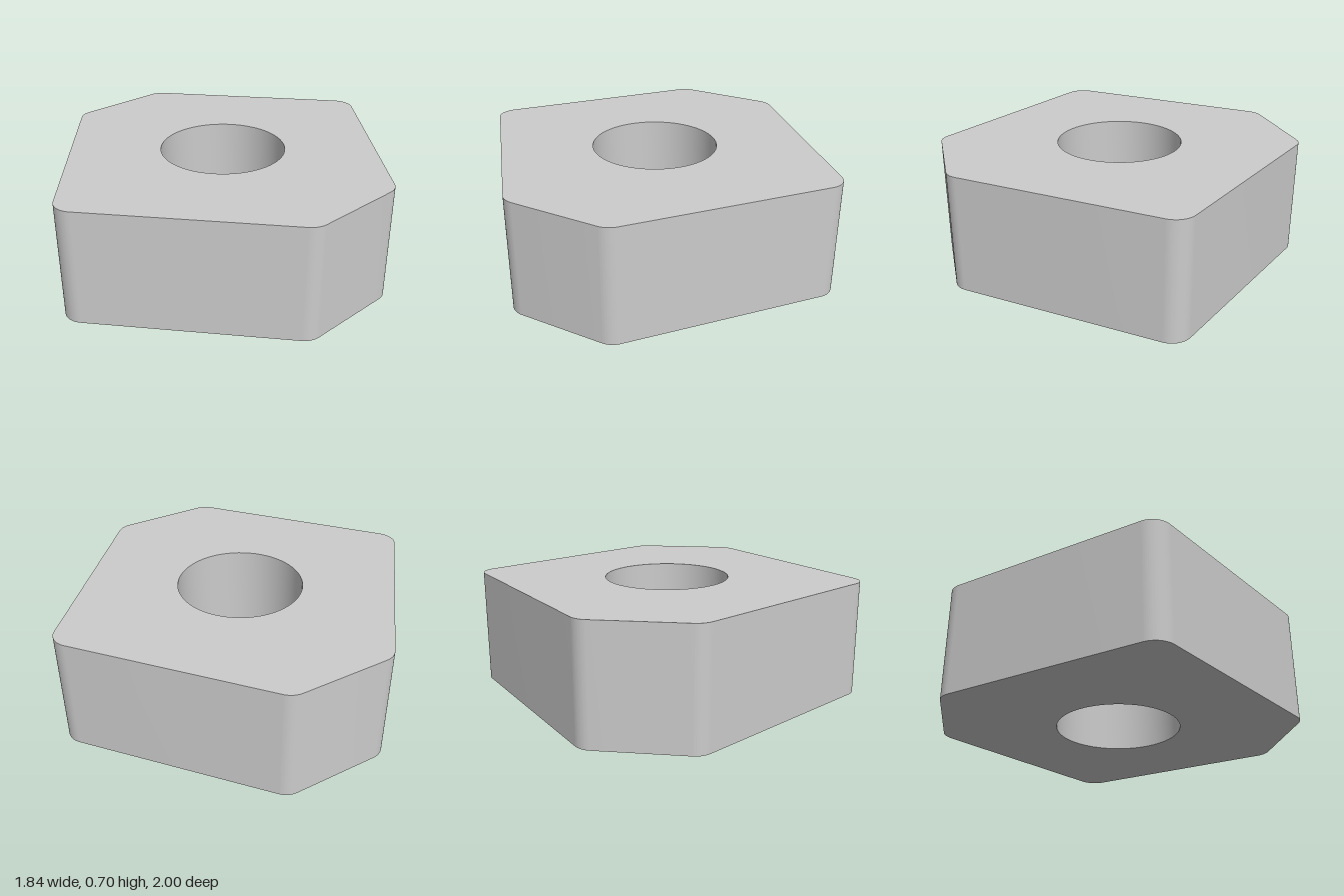
import * as THREE from 'three';
import { toCreasedNormals } from 'three/addons/utils/BufferGeometryUtils.js';

const HEIGHT = 0.696, FILLET = 0.12, BORE = 0.375;

// Side faces in plan: [outward direction in degrees, distance from the axis]
const half = [[0, 0.918], [80, 0.918], [130, 1.05]];
const sides = [...half, ...half.map(([angle, dist]) => [angle + 180, dist])];

// Centre of the fillet between two neighbouring side faces
function filletCentre([a, da], [b, db]) {
  const p = THREE.MathUtils.degToRad(a), q = THREE.MathUtils.degToRad(b);
  const u = da - FILLET, v = db - FILLET, det = Math.sin(q - p);
  return [
    (u * Math.sin(q) - v * Math.sin(p)) / det,
    (v * Math.cos(p) - u * Math.cos(q)) / det,
  ];
}

export function createModel() {
  const group = new THREE.Group();

  // Six-sided outline with rounded corners
  const outline = new THREE.Shape();
  sides.forEach((side, i) => {
    const next = i < 5 ? sides[i + 1] : [360, sides[0][1]];
    const [x, y] = filletCentre(side, next);
    outline.absarc(x, y, FILLET,
      THREE.MathUtils.degToRad(side[0]), THREE.MathUtils.degToRad(next[0]), false);
  });
  outline.closePath();

  // Round through hole
  const hole = new THREE.Path();
  hole.absarc(0, 0, BORE, 0, Math.PI * 2, true);
  outline.holes.push(hole);

  const solid = new THREE.ExtrudeGeometry(outline, {
    depth: HEIGHT, bevelEnabled: false, curveSegments: 32,
  });
  solid.rotateX(-Math.PI / 2);

  const body = new THREE.Mesh(
    toCreasedNormals(solid, 0.5),
    new THREE.MeshStandardMaterial({ color: 0xcccccc }),
  );
  body.name = 'insertBody';
  group.add(body);
  return group;
}
